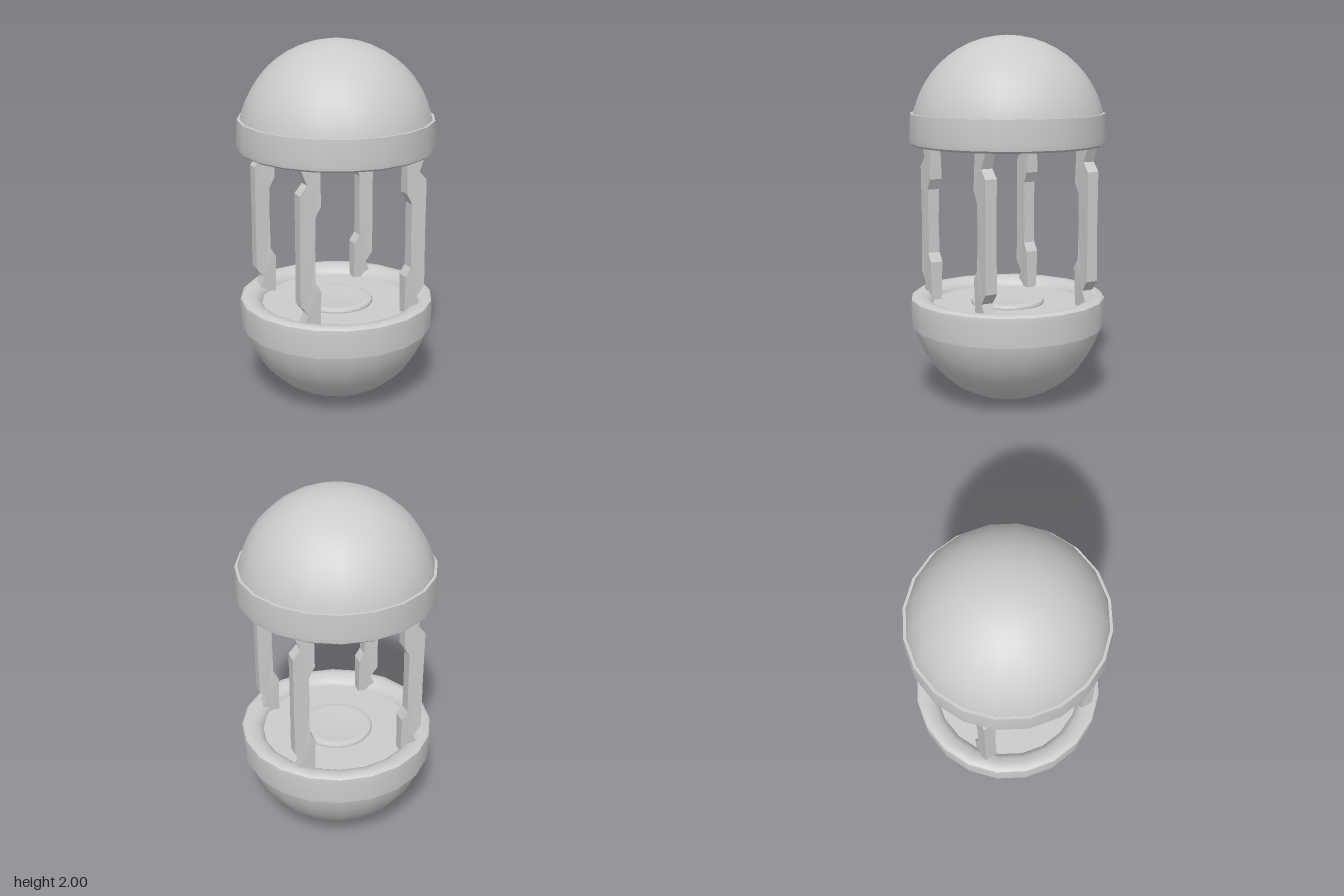
import * as THREE from 'three';
import { toCreasedNormals } from 'three/addons/utils/BufferGeometryUtils.js';

const SIDES = 20;
const RADIUS = 0.528;
const material = new THREE.MeshStandardMaterial({ color: 0xcccccc });

function part(name, geometry) {
  const mesh = new THREE.Mesh(geometry, material);
  mesh.name = name;
  return mesh;
}

function lathe(points, segments) {
  const profile = points.map(([r, y]) => new THREE.Vector2(r, y));
  return toCreasedNormals(new THREE.LatheGeometry(profile, segments), 0.7);
}

// Lower half shell: a bowl with a raised collar and a recessed floor
function shell(name) {
  const group = new THREE.Group();
  group.name = name;
  const bowl = new THREE.SphereGeometry(RADIUS, SIDES, 12, 0, Math.PI * 2, Math.PI / 2, Math.PI / 2);
  bowl.translate(0, RADIUS, 0);
  group.add(part('dome', bowl));
  group.add(part('collar', lathe([
    [0.5, 0.415], [0.53, 0.415], [0.537, 0.55], [0.534, 0.574], [0.52, 0.585],
    [0.485, 0.585], [0.45, 0.575], [0.425, 0.558], [0.415, 0.535],
  ], SIDES)));
  group.add(part('floor', lathe([[0.43, 0.537], [0, 0.537]], SIDES)));
  return group;
}

// Notched pillar outline, thickest at the two shoulders
function pillarGeometry() {
  const outline = [
    [0.365, 0.53], [0.323, 0.63], [0.365, 0.685], [0.365, 0.98], [0.365, 1.28],
    [0.323, 1.33], [0.378, 1.465], [0.249, 1.465], [0.249, 1.215], [0.28, 1.155],
    [0.28, 0.98], [0.28, 0.8], [0.249, 0.75], [0.249, 0.53],
  ].map(([x, y]) => new THREE.Vector2(x, y));
  const geometry = new THREE.ExtrudeGeometry(new THREE.Shape(outline), { depth: 2, bevelEnabled: false });
  geometry.translate(0, 0, -1);
  const p = geometry.attributes.position;
  for (let i = 0; i < p.count; i++) {
    const d = Math.abs(p.getY(i) - 0.98);
    const half = d < 0.24
      ? THREE.MathUtils.mapLinear(d, 0, 0.24, 0.031, 0.037)
      : THREE.MathUtils.mapLinear(d, 0.24, 0.48, 0.037, 0.027);
    p.setZ(i, p.getZ(i) * half + 0.312);
  }
  return toCreasedNormals(geometry, 0.4);
}

export function createModel() {
  const model = new THREE.Group();
  model.name = 'capsule';

  model.add(shell('lowerShell'));
  const upper = shell('upperShell');
  upper.rotation.x = Math.PI;
  upper.position.y = 2;
  model.add(upper);

  // Round pad in the middle of the lower floor
  model.add(part('pad', lathe([
    [0.2, 0.53], [0.203, 0.545], [0.197, 0.556], [0.18, 0.562], [0.16, 0.559], [0, 0.559],
  ], 24)));

  // Four pillars, mirrored left to right and front to back
  const pillar = pillarGeometry();
  for (const x of [1, -1]) {
    for (const z of [1, -1]) {
      const mesh = part((z > 0 ? 'front' : 'back') + (x > 0 ? 'Left' : 'Right') + 'Pillar', pillar);
      mesh.scale.set(x, 1, z);
      model.add(mesh);
    }
  }
  return model;
}
